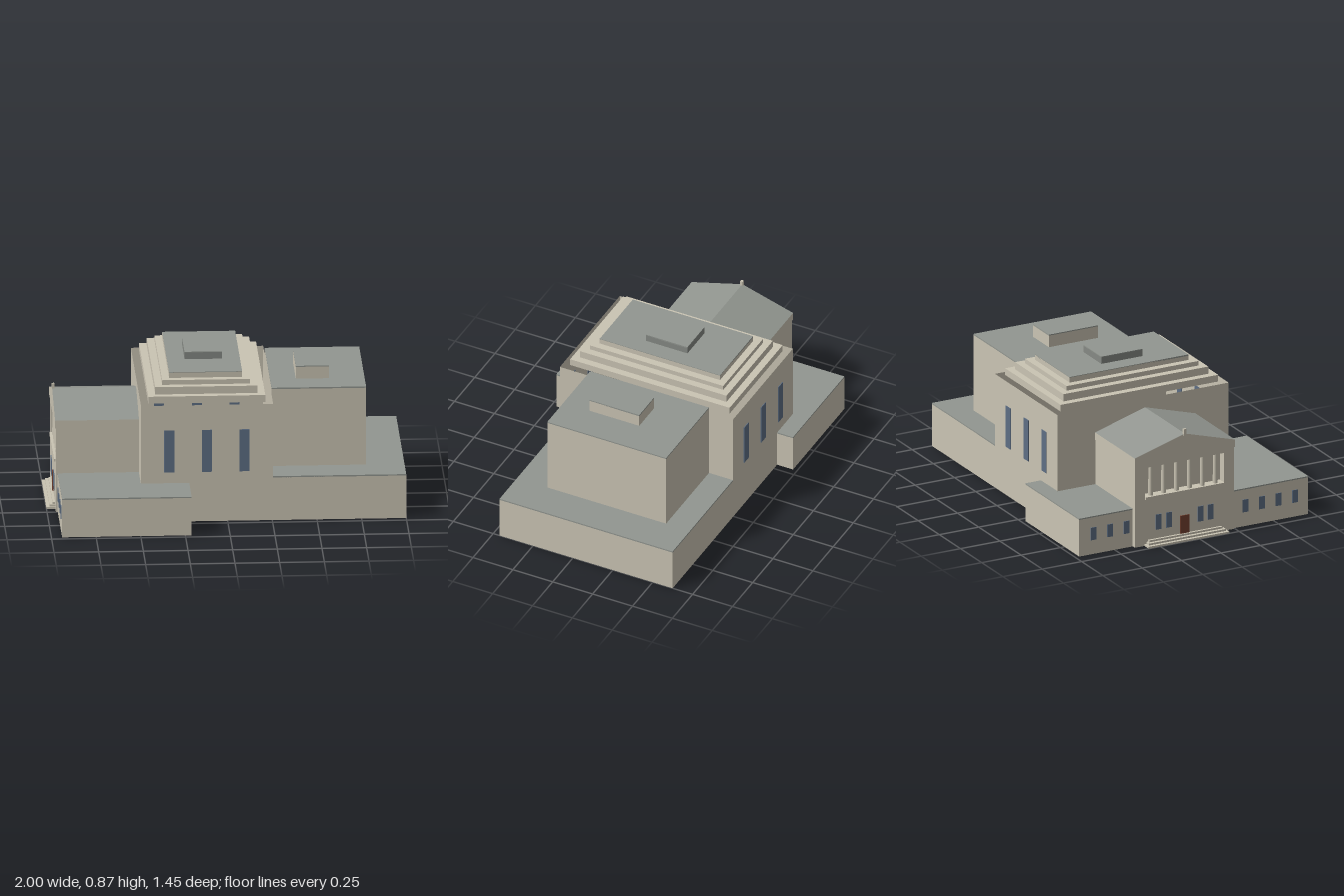
import * as THREE from 'three';

const mat = (name, color, side = THREE.FrontSide) => {
  const m = new THREE.MeshStandardMaterial({ color, side });
  m.name = name;
  return m;
};

export function createModel() {
  const stone = mat('stone', 0xcac4b3, THREE.DoubleSide);
  const roofGrey = mat('roofGrey', 0x929690);
  const lanternGrey = mat('lanternGrey', 0x858984);
  const glass = mat('glass', 0x5d6e84);
  const wood = mat('wood', 0x74402f);
  const model = new THREE.Group();
  model.name = 'theatre';

  const add = (name, geo, material) => {
    const mesh = new THREE.Mesh(geo, material);
    mesh.name = name;
    model.add(mesh);
    return mesh;
  };
  // Box given by its limits on each axis
  const box = (name, [x0, x1], [y0, y1], [z0, z1], material) => {
    const geo = new THREE.BoxGeometry(x1 - x0, y1 - y0, z1 - z0);
    geo.translate((x0 + x1) / 2, (y0 + y1) / 2, (z0 + z1) / 2);
    return add(name, geo, material);
  };
  const rect = (x0, x1, z0, z1) => [[x0, z1], [x1, z1], [x1, z0], [x0, z0]];

  // Open ring of walls over a plan of [x, z] corners
  const walls = (name, plan, y0, y1) => {
    const pos = [];
    plan.forEach(([ax, az], i) => {
      const [bx, bz] = plan[(i + 1) % plan.length];
      pos.push(ax, y0, az, bx, y0, bz, bx, y1, bz, ax, y0, az, bx, y1, bz, ax, y1, az);
    });
    const geo = new THREE.BufferGeometry();
    geo.setAttribute('position', new THREE.Float32BufferAttribute(pos, 3));
    geo.computeVertexNormals();
    add(name, geo, stone);
  };
  // Thin flat roof over a plan
  const flatRoof = (name, plan, top) => {
    const shape = new THREE.Shape(plan.map(([x, z]) => new THREE.Vector2(x, -z)));
    const geo = new THREE.ExtrudeGeometry(shape, { depth: 0.008, bevelEnabled: false });
    geo.rotateX(-Math.PI / 2).translate(0, top - 0.008, 0);
    add(name, geo, roofGrey);
  };

  // Main hall, open at the rim, with tall windows on both long faces
  walls('hallWalls', rect(-0.485, 0.255, -0.625, 0.46), 0, 0.68);
  for (const x of [-0.327, -0.116, 0.094]) {
    for (const z of [0.461, -0.626]) {
      box('hallWindow', [x - 0.028, x + 0.028], [0.29, 0.535], [z - 0.003, z + 0.003], glass);
    }
  }

  // Stepped roof and its lantern
  const tiers = [0.68, 0.72, 0.763, 0.79, 0.82];
  for (let i = 0; i < 4; i++) {
    const d = i * 0.041;
    box('roofTier', [-0.442 + d, 0.213 - d], [tiers[i], tiers[i + 1]], [-0.583 + d, 0.417 - d], stone);
  }
  flatRoof('tierRoof', rect(-0.319, 0.09, -0.46, 0.294), 0.823);
  box('lantern', [-0.22, -0.01], [0.82, 0.862], [-0.205, 0.055], lanternGrey);
  flatRoof('lanternRoof', rect(-0.22, -0.01, -0.205, 0.055), 0.866);

  // Low base with the stage tower rising through it
  walls('stageBaseWalls', rect(0.255, 1, -0.625, 0.46), 0, 0.25);
  flatRoof('stageBaseRoof', [[0.255, -0.625], [1, -0.625], [1, 0.46], [0.255, 0.46],
    [0.255, 0.27], [0.785, 0.27], [0.785, -0.475], [0.255, -0.475]], 0.257);
  walls('towerWalls', rect(0.256, 0.785, -0.475, 0.27), 0, 0.708);
  flatRoof('towerRoof', rect(0.256, 0.785, -0.475, 0.27), 0.715);
  box('towerHut', [0.4, 0.585], [0.715, 0.784], [-0.205, 0.107], stone);
  flatRoof('towerHutRoof', rect(0.4, 0.585, -0.205, 0.107), 0.79);

  // Side wings wrapping the hall corners
  const wing = (plan, x, windows) => {
    walls('wingWalls', plan, 0, 0.219);
    flatRoof('wingRoof', plan, 0.226);
    for (const z of windows) {
      box('wingWindow', [x - 0.004, x + 0.003], [0.085, 0.16], [z - 0.018, z + 0.018], glass);
    }
  };
  wing([[-0.94, 0.72], [-0.215, 0.72], [-0.215, 0.461], [-0.486, 0.461], [-0.486, 0.246], [-0.94, 0.246]],
    -0.94, [0.32, 0.425, 0.53, 0.635]);
  wing([[-0.925, -0.386], [-0.486, -0.386], [-0.486, -0.626], [-0.29, -0.626], [-0.29, -0.725], [-0.925, -0.725]],
    -0.925, [-0.635, -0.53, -0.425]);

  // Entrance block: plain lower storey, recessed loggia above
  const mid = -0.07;
  walls('entranceWalls', rect(-0.9, -0.485, -0.385, 0.245), 0, 0.49);
  box('lowerFacade', [-0.95, -0.9], [0, 0.28], [-0.385, 0.245], stone);
  box('loggiaSill', [-0.957, -0.9], [0.275, 0.29], [-0.32, 0.18], stone);
  for (const s of [-1, 1]) {
    const z = mid + s * 0.283;
    box('cornerPier', [-0.95, -0.9], [0.28, 0.49], [z - 0.032, z + 0.032], stone);
    for (const off of [0.1, 0.165]) {
      const w = mid + s * off;
      box('entranceWindow', [-0.954, -0.947], [0.085, 0.175], [w - 0.018, w + 0.018], glass);
    }
  }
  box('loggiaLintel', [-0.95, -0.9], [0.465, 0.49], [-0.355, 0.215], stone);
  for (let i = 0; i < 6; i++) {
    const column = add('loggiaColumn', new THREE.CylinderGeometry(0.012, 0.014, 0.175, 12), stone);
    column.position.set(-0.93, 0.3775, mid + (i - 2.5) * 0.082);
  }
  box('door', [-0.955, -0.947], [0.03, 0.14], [mid - 0.028, mid + 0.028], wood);
  box('cornice', [-0.955, -0.485], [0.49, 0.535], [-0.388, 0.248], stone);

  // Gabled roof with stone pediment and apex ornament
  const gable = new THREE.Shape([[-0.388, 0.535], [0.248, 0.535], [mid, 0.628]]
    .map(([z, y]) => new THREE.Vector2(z, y)));
  const gableGeo = new THREE.ExtrudeGeometry(gable, { depth: 0.47, bevelEnabled: false });
  gableGeo.rotateY(-Math.PI / 2).translate(-0.485, 0, 0);
  add('gableRoof', gableGeo, [stone, roofGrey]);
  box('apexOrnament', [-0.957, -0.943], [0.615, 0.655], [mid - 0.008, mid + 0.008], stone);

  // Entrance steps
  for (let i = 0; i < 3; i++) {
    box('entranceStep', [-1 + i * 0.018, -0.945], [i * 0.011, (i + 1) * 0.011],
      [-0.325 + i * 0.012, 0.188 - i * 0.012], stone);
  }
  return model;
}
